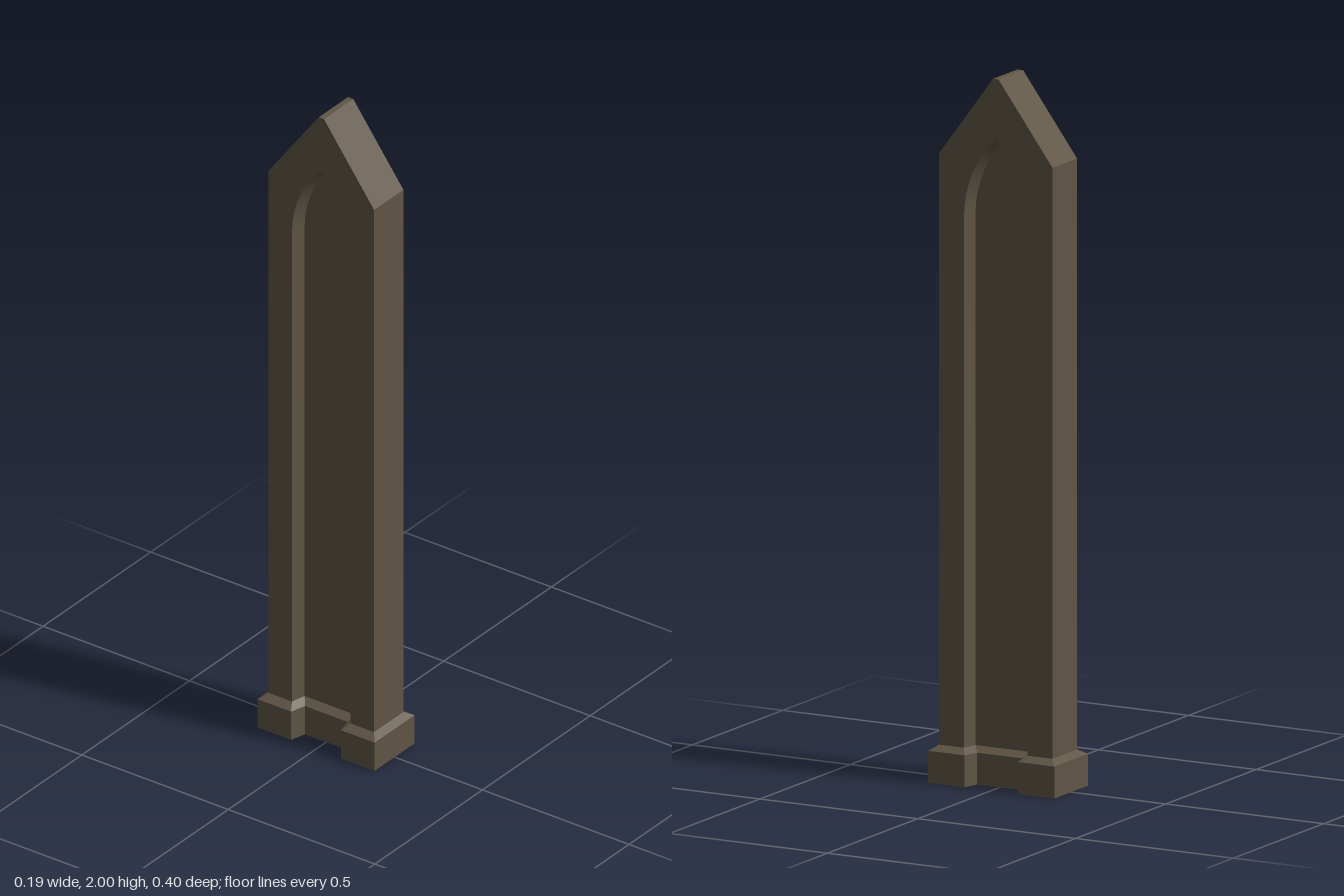
import * as THREE from 'three';
import { toCreasedNormals } from 'three/addons/utils/BufferGeometryUtils.js';

const HALF_X = 0.068, PANEL_X = 0.023, BODY_Y = 0.105;

// Skin of quads between two rows of points
function loft(a, b) {
  const pos = [], idx = [], n = a.length;
  for (const p of [...a, ...b]) pos.push(p.x, p.y, p.z);
  for (let i = 0; i < n - 1; i++) idx.push(i, i + 1, n + i + 1, i, n + i + 1, n + i);
  const g = new THREE.BufferGeometry();
  g.setAttribute('position', new THREE.Float32BufferAttribute(pos, 3));
  g.setIndex(idx);
  return toCreasedNormals(g, 0.5);
}

// Pointed arch outline from left foot over the tip to right foot
function archPoints(half, spring, tip, segments = 14) {
  const rise = tip - spring;
  const c = (half * half - rise * rise) / (2 * half), r = half - c;
  const end = Math.atan2(rise, -c);
  const right = [new THREE.Vector2(half, BODY_Y)];
  for (let i = 0; i <= segments; i++) {
    const t = end * i / segments;
    right.push(new THREE.Vector2(Math.max(0, c + r * Math.cos(t)), spring + r * Math.sin(t)));
  }
  const left = right.slice(0, -1).map(p => new THREE.Vector2(-p.x, p.y));
  return [...left, ...right.reverse()];
}

// H-shaped plan of the plinth at one height
function plinthRing(y, outerX, outerZ, notchZ, innerX, innerZ) {
  const half = [[outerX, outerZ], [outerX, notchZ], [innerX, innerZ],
    [innerX, -innerZ], [outerX, -notchZ], [outerX, -outerZ]];
  const loop = [...half, ...half.map(([x, z]) => [-x, -z]), half[0]];
  return loop.map(([x, z]) => new THREE.Vector3(x, y, z));
}

export function createModel() {
  const root = new THREE.Group();
  root.name = 'pointedPillar';
  const stone = new THREE.MeshStandardMaterial({ color: 0x5f5545, side: THREE.DoubleSide });
  stone.name = 'brownStone';
  const add = (parent, name, geometry) => {
    const mesh = new THREE.Mesh(geometry, stone);
    mesh.name = name;
    parent.add(mesh);
    return mesh;
  };
  const atZ = (pts, z) => pts.map(p => new THREE.Vector3(p.x, p.y, z));

  // Gabled outline, right foot to left foot
  const gable = [[0.18, BODY_Y], [0.18, 1.77], [0.009, 2], [-0.009, 2], [-0.18, 1.77], [-0.18, BODY_Y]]
    .map(([x, y]) => new THREE.Vector2(x, y));
  const outerArch = archPoints(0.1, 1.6, 1.83);
  const innerArch = archPoints(0.09, 1.6, 1.815);

  // Narrow sides and sloping top
  add(root, 'shaftEdge', loft(atZ(gable, -HALF_X), atZ(gable, HALF_X))).rotation.y = Math.PI / 2;

  // Broad faces, each with a recessed pointed niche
  for (const side of [1, -1]) {
    const face = new THREE.Group();
    face.name = side > 0 ? 'leftFace' : 'rightFace';
    face.rotation.y = side * Math.PI / 2;
    const surround = new THREE.ShapeGeometry(new THREE.Shape([...outerArch, ...gable]));
    add(face, 'nicheSurround', surround.translate(0, 0, HALF_X));
    add(face, 'nicheReveal', loft(atZ(innerArch, PANEL_X), atZ(outerArch, HALF_X)));
    const panel = new THREE.ShapeGeometry(new THREE.Shape(innerArch));
    add(face, 'nichePanel', panel.translate(0, 0, PANEL_X));
    root.add(face);
  }

  // Plinth with a chamfered top, open underneath
  const bottom = plinthRing(0, 0.093, 0.2, 0.085, 0.046, 0.072);
  const shoulder = plinthRing(0.09, 0.093, 0.2, 0.085, 0.046, 0.072);
  const top = plinthRing(BODY_Y, HALF_X, 0.18, 0.1, PANEL_X, 0.09);
  add(root, 'plinthWall', loft(bottom, shoulder));
  add(root, 'plinthChamfer', loft(shoulder, top));
  return root;
}
